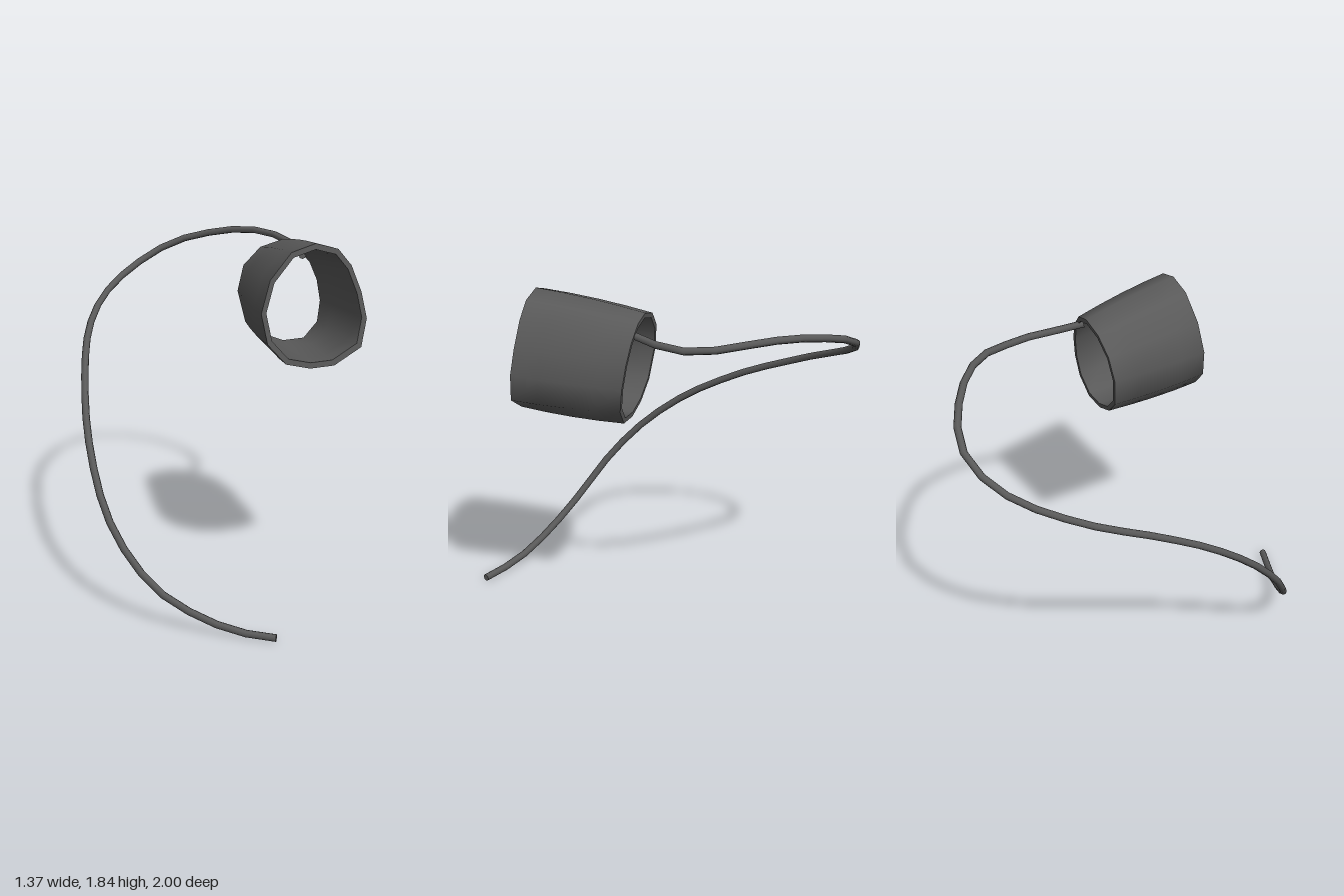
import * as THREE from 'three';
import { toCreasedNormals } from 'three/addons/utils/BufferGeometryUtils.js';

const material = new THREE.MeshStandardMaterial({ color: 0x595959 });

// Centre line of the cord, from its loose end up to the ring
const cordPath = [
  [0.16, 0.019, 0.98], [0.07, 0.021, 0.945], [-0.09, 0.05, 0.875], [-0.25, 0.115, 0.805],
  [-0.39, 0.205, 0.735], [-0.5, 0.33, 0.65], [-0.58, 0.465, 0.565], [-0.63, 0.605, 0.455],
  [-0.655, 0.74, 0.325], [-0.665, 0.86, 0.18], [-0.66, 0.97, 0.02], [-0.63, 1.13, -0.28],
  [-0.59, 1.22, -0.49], [-0.52, 1.305, -0.675], [-0.42, 1.38, -0.83], [-0.3, 1.45, -0.93],
  [-0.155, 1.53, -0.98], [0, 1.6, -0.95], [0.165, 1.65, -0.86], [0.31, 1.68, -0.75],
  [0.43, 1.68, -0.615], [0.51, 1.655, -0.45], [0.545, 1.645, -0.28], [0.505, 1.66, -0.1],
  [0.48, 1.675, -0.02],
].map((p) => new THREE.Vector3(...p));

// Outlines of the two rims (x, y), clockwise from the top
const frontRim = [
  [0.43, 1.84], [0.54, 1.81], [0.605, 1.73], [0.655, 1.6], [0.682, 1.47], [0.655, 1.33], [0.52, 1.245],
  [0.4, 1.235], [0.28, 1.26], [0.19, 1.36], [0.16, 1.51], [0.205, 1.67], [0.31, 1.8],
];
const rearRim = [
  [0.38, 1.755], [0.47, 1.73], [0.54, 1.65], [0.58, 1.55], [0.598, 1.43], [0.58, 1.31], [0.5, 1.22],
  [0.38, 1.21], [0.27, 1.25], [0.18, 1.34], [0.142, 1.5], [0.175, 1.63], [0.265, 1.72],
];

// Point j of the ring's wall at depth t (0 rear, 1 front), shrunk toward the axis by scale
function ringPoint(j, t, scale) {
  const mix = THREE.MathUtils.lerp;
  const cx = mix(0.368, 0.42, t);
  const cy = mix(1.48, 1.535, t);
  const s = scale * (1 + 0.03 * 4 * t * (1 - t)); // slight bulge
  const x = cx + (mix(rearRim[j][0], frontRim[j][0], t) - cx) * s;
  const y = cy + (mix(rearRim[j][1], frontRim[j][1], t) - cy) * s;
  const z = mix(-0.02, 0.52, t) - mix(0.13, 0.1, t) * (y - cy); // tilted rims
  return [x, y, z];
}

// Hollow ring: outer wall rear to front, then inner wall back again
function ringGeometry() {
  const n = frontRim.length;
  const depths = [0, 0.25, 0.5, 0.75, 1];
  const sections = [
    ...depths.map((t) => [t, 1]),
    ...depths.slice().reverse().map((t) => [t, 0.905]),
  ];
  const positions = [];
  const index = [];
  sections.forEach(([t, scale], k) => {
    const next = (k + 1) % sections.length;
    for (let j = 0; j < n; j++) {
      positions.push(...ringPoint(j, t, scale));
      const j2 = (j + 1) % n;
      const a = k * n + j, b = k * n + j2, c = next * n + j2, d = next * n + j;
      index.push(a, d, c, a, c, b);
    }
  });
  const geometry = new THREE.BufferGeometry();
  geometry.setAttribute('position', new THREE.Float32BufferAttribute(positions, 3));
  geometry.setIndex(index);
  return toCreasedNormals(geometry, 0.9);
}

export function createModel() {
  const model = new THREE.Group();
  const radius = 0.019;
  const sides = 8;

  // Cord
  const curve = new THREE.CatmullRomCurve3(cordPath);
  const cord = new THREE.Mesh(new THREE.TubeGeometry(curve, 30, radius, sides), material);
  cord.name = 'cord';
  model.add(cord);

  // Caps closing both ends of the cord
  for (const [t, direction] of [[0, -1], [1, 1]]) {
    const cap = new THREE.Mesh(new THREE.CircleGeometry(radius, sides), material);
    cap.name = 'cordEnd';
    cap.position.copy(curve.getPointAt(t));
    cap.quaternion.setFromUnitVectors(
      new THREE.Vector3(0, 0, 1),
      curve.getTangentAt(t).multiplyScalar(direction),
    );
    model.add(cap);
  }

  // Open ring
  const ring = new THREE.Mesh(ringGeometry(), material);
  ring.name = 'ring';
  model.add(ring);

  return model;
}
